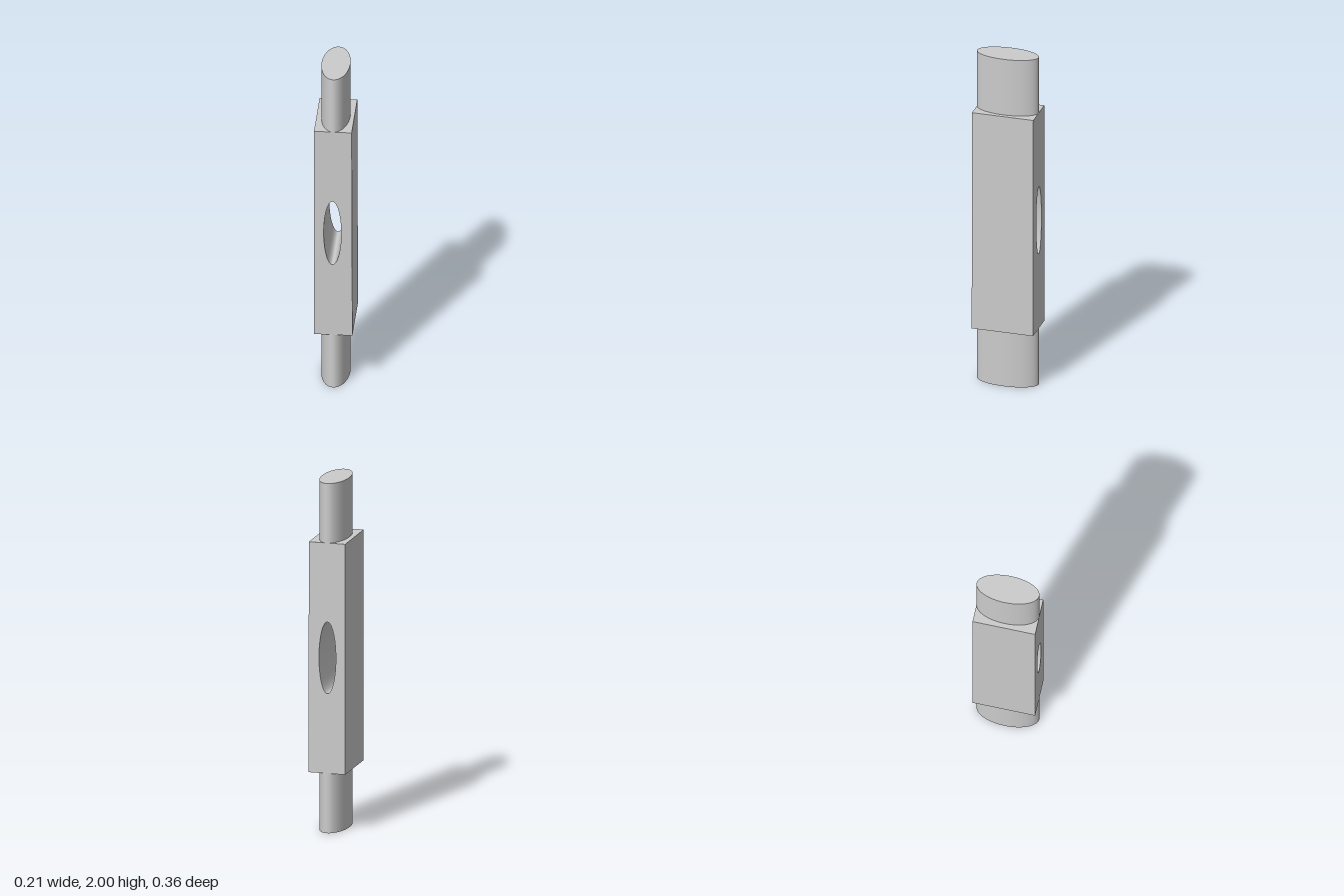
import * as THREE from 'three';

export function createModel() {
  const model = new THREE.Group();
  const material = new THREE.MeshStandardMaterial({ color: 0xcccccc });
  const depth = 0.356, bottom = 0.342, top = 1.66;

  // Block outline, its +x side leaning in very slightly towards the top
  const outline = new THREE.Shape([
    new THREE.Vector2(-0.107, bottom),
    new THREE.Vector2(0.107, bottom),
    new THREE.Vector2(0.103, top),
    new THREE.Vector2(-0.107, top),
  ]);

  // Oval hole running through the block from front to back
  const hole = new THREE.Path();
  hole.absellipse(-0.004, 1.003, 0.049, 0.205, 0, Math.PI * 2, true);
  outline.holes.push(hole);

  const blockGeometry = new THREE.ExtrudeGeometry(outline, { depth, bevelEnabled: false, curveSegments: 64 });
  blockGeometry.translate(0, 0, -depth / 2);

  // Give the hole wall smooth normals, pointing towards its axis
  const pos = blockGeometry.attributes.position, nor = blockGeometry.attributes.normal;
  const n = new THREE.Vector3();
  for (let i = 0; i < pos.count; i++) {
    const dx = pos.getX(i) + 0.004, dy = pos.getY(i) - 1.003;
    const onWall = Math.abs(nor.getZ(i)) < 0.5 && Math.hypot(dx / 0.049, dy / 0.205) < 1.05;
    if (!onWall) continue;
    n.set(-dx / 0.049 ** 2, -dy / 0.205 ** 2, 0).normalize();
    nor.setXYZ(i, n.x, n.y, n.z);
  }
  const block = new THREE.Mesh(blockGeometry, material);
  block.name = 'block';
  model.add(block);

  // Oval pegs at both ends
  const addPeg = (name, y0, y1) => {
    const geometry = new THREE.CylinderGeometry(1, 1, y1 - y0, 96);
    geometry.scale(0.08, 1, depth / 2);
    const peg = new THREE.Mesh(geometry, material);
    peg.position.y = (y0 + y1) / 2;
    peg.name = name;
    model.add(peg);
  };
  addPeg('lowerPeg', 0, bottom);
  addPeg('upperPeg', top, 2);

  return model;
}
